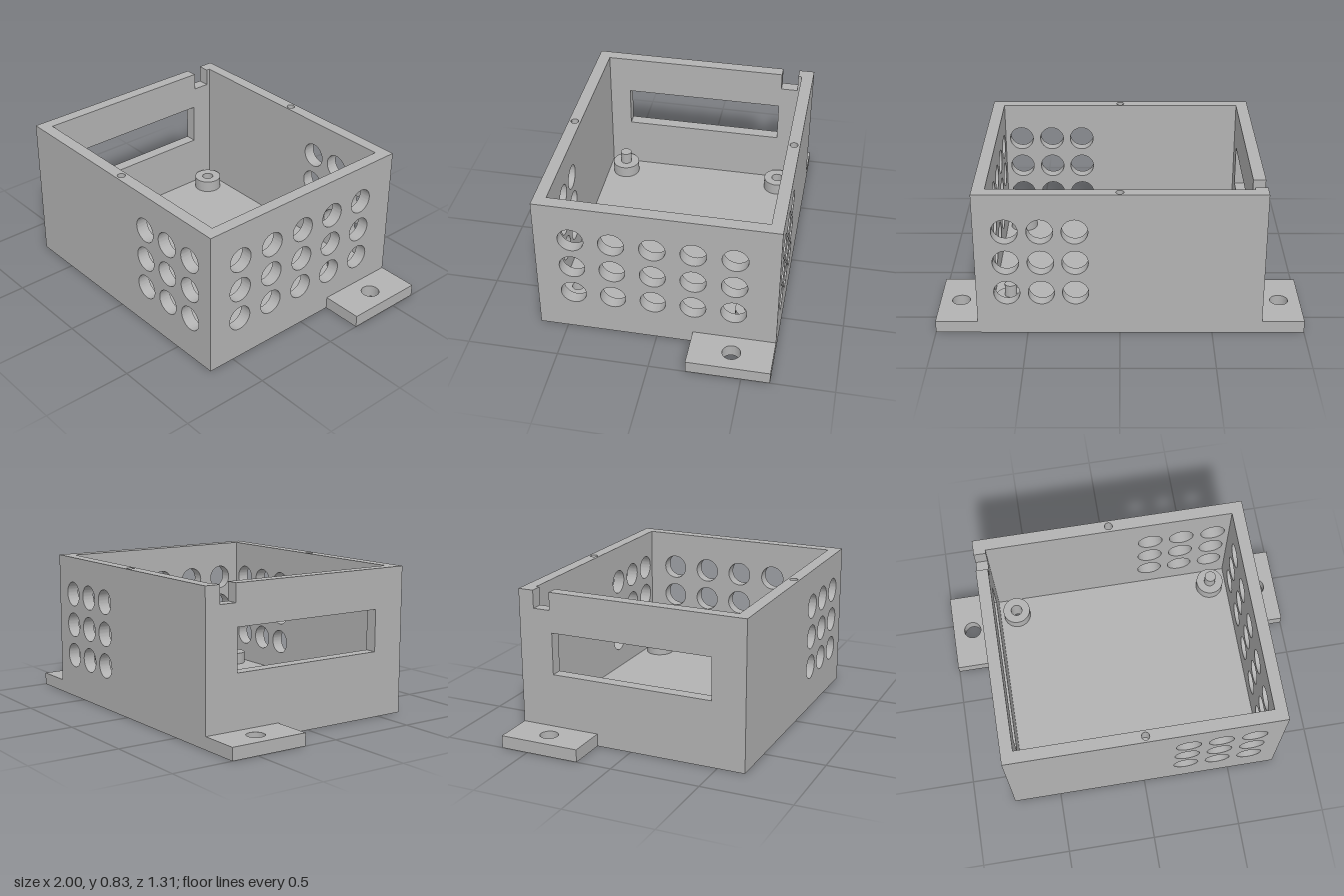
import * as THREE from 'three';
import { toCreasedNormals } from 'three/addons/utils/BufferGeometryUtils.js';

const W = 0.77, D = 0.655, WALL = 0.068;   // outer half width, half depth, wall thickness
const FLOOR = 0.07, RIM = 0.73, TOP = 0.83; // floor top, rim start, rim top
const IW = W - WALL, ID = D - WALL;

// closed outline from [x, y] points
const outline = (pts) => new THREE.Shape(pts.map(([x, y]) => new THREE.Vector2(x, y)));
const rect = (x0, y0, x1, y1) => outline([[x0, y0], [x1, y0], [x1, y1], [x0, y1]]);

function circle(x, y, r) {
  const p = new THREE.Path();
  p.absarc(x, y, r, 0, Math.PI * 2, true);
  return p;
}

function extrude(shape, depth) {
  return new THREE.ExtrudeGeometry(shape, { depth, bevelEnabled: false, curveSegments: 32 });
}

// plan shapes use (x, -z) and rise along y
const extrudeUp = (shape, y0, y1) =>
  extrude(shape, y1 - y0).rotateX(-Math.PI / 2).translate(0, y0, 0);

// grid of vent holes
function addVents(shape, columns) {
  for (const u of columns)
    for (const y of [0.25, 0.432, 0.615]) shape.holes.push(circle(u, y, 0.07));
  return shape;
}

export function createModel() {
  const group = new THREE.Group();
  const plastic = new THREE.MeshStandardMaterial({ color: 0xb2b2b2 });
  plastic.name = 'grey plastic';

  const add = (name, geometry) => {
    const mesh = new THREE.Mesh(toCreasedNormals(geometry, 0.6), plastic);
    mesh.name = name;
    group.add(mesh);
  };

  // corner posts: two drilled through, two carrying a locating pin
  const posts = [
    { x: -0.6, z: -0.487, drilled: true },
    { x: 0.6, z: 0.48, drilled: true },
    { x: 0.6, z: -0.487, drilled: false },
    { x: -0.6, z: 0.48, drilled: false },
  ];

  // floor with mounting ears at the back
  const floor = outline([
    [-W, -D], [W, -D], [W, 0.2], [1, 0.2], [1, D], [-1, D], [-1, 0.2], [-W, 0.2],
  ]);
  for (const s of [-1, 1]) floor.holes.push(circle(s * 0.885, 0.43, 0.05));
  for (const p of posts) if (p.drilled) floor.holes.push(circle(p.x, -p.z, 0.033));
  add('floorWithEars', extrudeUp(floor, 0, FLOOR));

  for (const p of posts) {
    const ring = new THREE.Shape();
    ring.absarc(p.x, -p.z, 0.08, 0, Math.PI * 2);
    if (p.drilled) ring.holes.push(circle(p.x, -p.z, 0.033));
    add('standoff', extrudeUp(ring, FLOOR, 0.14));
    if (!p.drilled)
      add('locatingPin', new THREE.CylinderGeometry(0.033, 0.033, 0.07, 32).translate(p.x, 0.175, p.z));
  }

  // front and back walls with matching vents
  for (const [name, z] of [['frontWall', ID], ['backWall', -D]]) {
    const wall = addVents(rect(-W, FLOOR, W, RIM), [0.237, 0.42, 0.605]);
    add(name, extrude(wall, WALL).translate(0, 0, z));
  }

  // side walls are drawn in (-z, y): vents on one, a window in the other
  const vented = addVents(rect(-ID, FLOOR, ID, RIM), [-0.455, -0.237, -0.018, 0.2, 0.42]);
  add('ventedSideWall', extrude(vented, WALL).rotateY(Math.PI / 2).translate(IW, 0, 0));

  const windowed = rect(-ID, FLOOR, ID, RIM);
  windowed.holes.push(rect(-0.465, 0.37, 0.46, 0.605));
  add('windowSideWall', extrude(windowed, WALL).rotateY(Math.PI / 2).translate(-W, 0, 0));

  // rim with a cable notch and two screw holes
  const rim = outline([
    [-W, 0.47], [-W, -D], [W, -D], [W, D], [-W, D], [-W, 0.567],
    [-IW, 0.567], [-IW, ID], [IW, ID], [IW, -ID], [-IW, -ID], [-IW, 0.47],
  ]);
  for (const s of [-1, 1]) rim.holes.push(circle(0, s * 0.621, 0.022));
  add('rim', extrudeUp(rim, RIM, TOP));

  return group;
}
